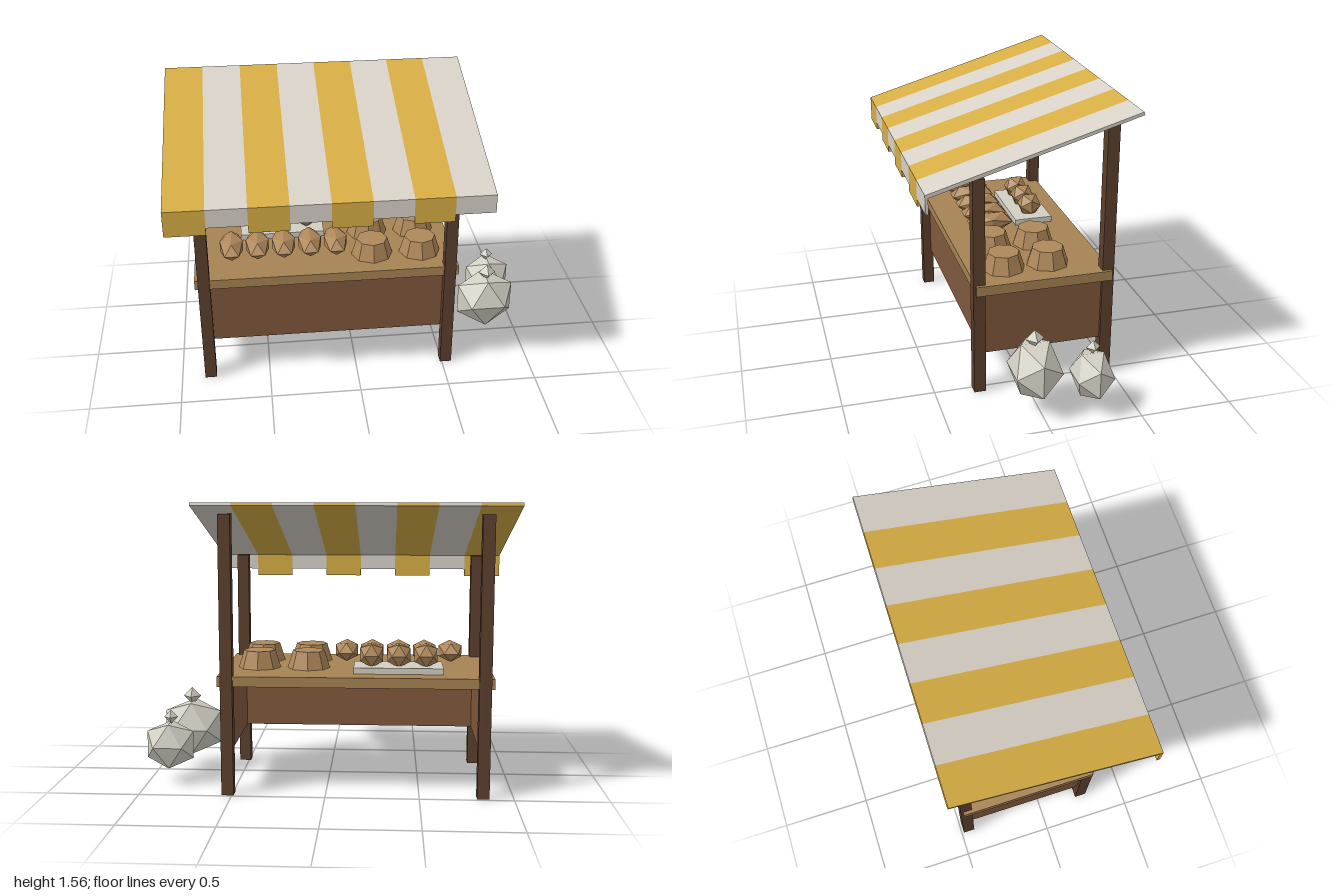
import * as THREE from 'three';

const material = (name, color) => {
  const m = new THREE.MeshStandardMaterial({ color, flatShading: true });
  m.name = name;
  return m;
};

export function createModel() {
  const darkWood = material('dark wood', 0x5c402e);
  const panelWood = material('panel wood', 0x80583d);
  const counterWood = material('counter wood', 0xa68353);
  const bread = material('bread', 0xaf885a);
  const yellow = material('yellow cloth', 0xd7ae45);
  const white = material('white cloth', 0xd8d2c8);
  const sackCloth = material('sack cloth', 0xd2cfc3);

  const model = new THREE.Group();
  model.name = 'marketStall';

  const add = (name, geometry, mat, parent = model) => {
    const mesh = new THREE.Mesh(geometry, mat);
    mesh.name = name;
    parent.add(mesh);
    return mesh;
  };
  const group = (name) => {
    const g = new THREE.Group();
    g.name = name;
    model.add(g);
    return g;
  };
  // Box given by its minimum and maximum corners
  const box = (name, mat, [x0, y0, z0], [x1, y1, z1], parent) => {
    const mesh = add(name, new THREE.BoxGeometry(x1 - x0, y1 - y0, z1 - z0), mat, parent);
    mesh.position.set((x0 + x1) / 2, (y0 + y1) / 2, (z0 + z1) / 2);
    return mesh;
  };

  // Posts: the rear pair is taller
  const posts = group('posts');
  for (const x of [-0.87, 0.49]) {
    box('frontPost', darkWood, [x, 0, 0.225], [x + 0.065, 1.235, 0.29], posts);
    box('backPost', darkWood, [x, 0, -0.487], [x + 0.065, 1.495, -0.422], posts);
  }

  // Counter with three skirt panels, open at the back
  box('counterTop', counterWood, [-0.888, 0.588, -0.473], [0.573, 0.643, 0.277]);
  box('frontPanel', panelWood, [-0.852, 0.23, 0.2], [0.537, 0.588, 0.24]);
  box('rightPanel', panelWood, [-0.852, 0.23, -0.45], [-0.82, 0.588, 0.2]);
  box('leftPanel', panelWood, [0.505, 0.23, -0.45], [0.537, 0.588, 0.2]);

  // Striped awning: each stripe is a sloping slab with a hanging flap
  const awning = group('awning');
  const stripes = 8;
  const width = 1.684 / stripes;
  for (let i = 0; i < stripes; i++) {
    const isYellow = i % 2 === 0;
    const hem = isYellow ? 1.09 : 1.13;
    const profile = new THREE.Shape([
      [-0.56, 1.54], [0.54, 1.214], [0.54, hem], [0.556, hem], [0.556, 1.231], [-0.555, 1.556],
    ].map(([z, y]) => new THREE.Vector2(z, y)));
    const stripe = new THREE.ExtrudeGeometry(profile, { depth: width, bevelEnabled: false });
    stripe.rotateY(-Math.PI / 2);
    add(isYellow ? 'yellowStripe' : 'whiteStripe', stripe, isYellow ? yellow : white, awning)
      .position.x = -1 + (i + 1) * width;
  }

  // Faceted lump with half extents of one, ridge running front to back
  const lump = new THREE.IcosahedronGeometry(1 / 0.8507, 0).rotateY(Math.PI / 2);

  // Row of long loaves, and a tray of round buns behind it
  const goods = group('bakedGoods');
  const loafX = [-0.68, -0.535, -0.388, -0.24, -0.095];
  loafX.forEach((x, i) => {
    const loaf = add('longLoaf', lump, bread, goods);
    loaf.position.set(x, 0.71, 0.03);
    loaf.scale.set(0.064, 0.051, 0.125);
    if (i > 0 && i < 4) {
      const bun = add('bun', lump, bread, goods);
      bun.position.set(x, 0.73, -0.25);
      bun.scale.set(0.062, 0.061, 0.062);
    }
  });
  box('tray', sackCloth, [-0.625, 0.643, -0.36], [-0.145, 0.676, -0.14]);

  // Four round tapered loaves
  const cake = new THREE.CylinderGeometry(0.087, 0.118, 0.1, 8);
  for (const x of [0.108, 0.38]) {
    for (const z of [0.08, -0.167]) add('roundLoaf', cake, bread, goods).position.set(x, 0.69, z);
  }

  // Two tied sacks beside the stall
  const knot = new THREE.OctahedronGeometry(1, 0);
  const sack = (center, size, knotAt, knotSize) => {
    const g = group('sack');
    const body = add('sackBody', lump, sackCloth, g);
    body.position.set(...center);
    body.scale.set(...size);
    const tie = add('sackKnot', knot, sackCloth, g);
    tie.position.set(...knotAt);
    tie.scale.setScalar(knotSize);
  };
  sack([0.795, 0.255, 0.025], [0.16, 0.148, 0.125], [0.8, 0.433, 0.03], 0.05);
  sack([0.872, 0.218, -0.262], [0.128, 0.122, 0.099], [0.865, 0.375, -0.265], 0.039);

  return model;
}
